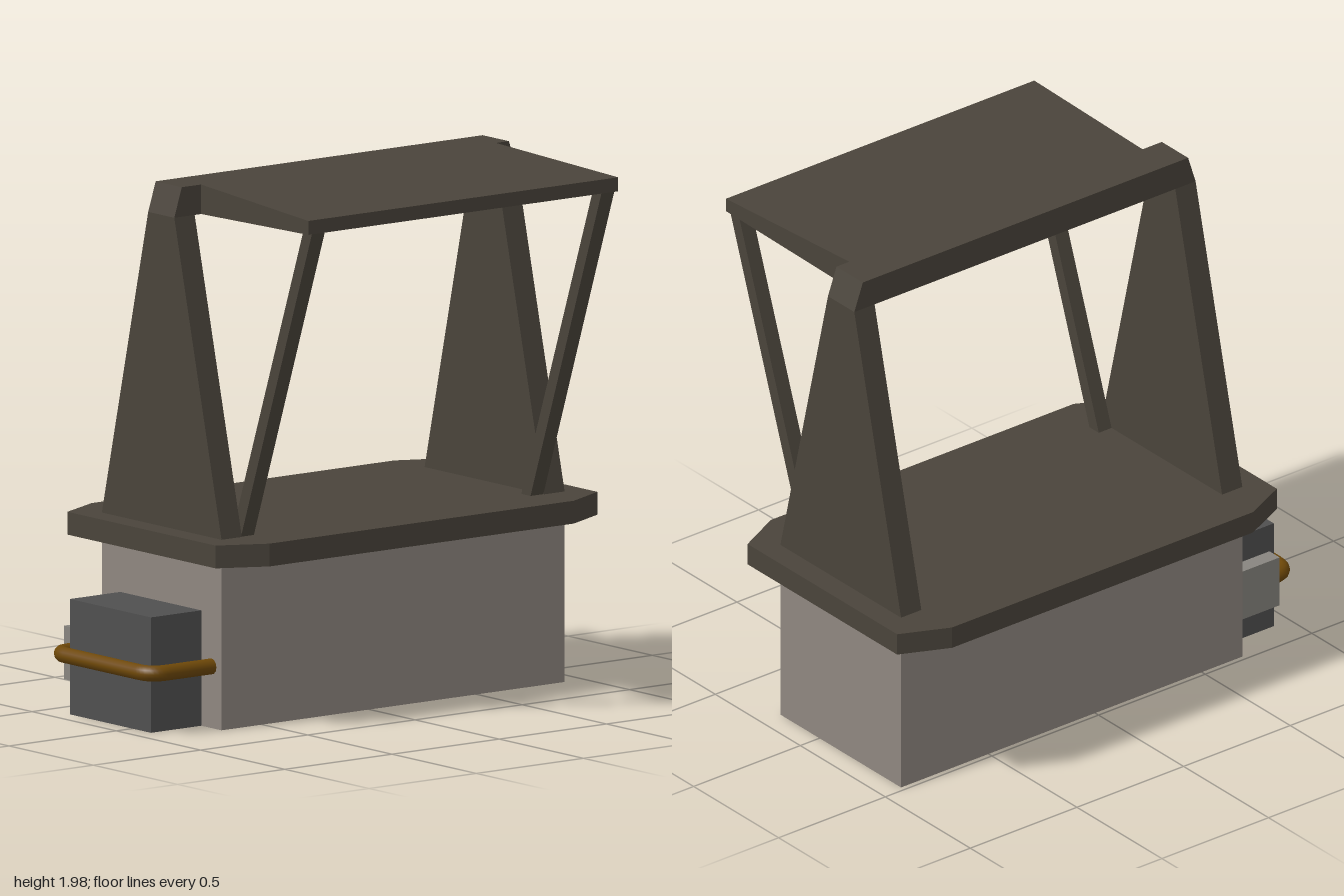
import * as THREE from 'three';

const paint = (color) => new THREE.MeshStandardMaterial({ color, flatShading: true });

export function createModel() {
  const group = new THREE.Group();
  const frame = paint(0x4a443b), plaster = paint(0x8f8780), dark = paint(0x505050), grey = paint(0x88857f);
  const pipeMat = new THREE.MeshStandardMaterial({ color: 0x6e4808 });

  const add = (name, geometry, material) => {
    const mesh = new THREE.Mesh(geometry, material);
    mesh.name = name;
    group.add(mesh);
    return mesh;
  };
  const box = (name, [x0, x1], [y0, y1], [z0, z1], material) => add(name,
    new THREE.BoxGeometry(x1 - x0, y1 - y0, z1 - z0)
      .translate((x0 + x1) / 2, (y0 + y1) / 2, (z0 + z1) / 2), material);
  const extrude = (points, depth) => new THREE.ExtrudeGeometry(
    new THREE.Shape(points.map(([a, b]) => new THREE.Vector2(a, b))), { depth, bevelEnabled: false });
  // Prism with a (z, y) profile running from x0 to x1
  const sidePrism = (name, points, x0, x1) => add(name,
    extrude(points, x1 - x0).rotateY(-Math.PI / 2).translate(x1, 0, 0), frame);

  // Stall body
  box('base', [-0.69, 0.91], [0, 0.625], [-0.48, 0.23], plaster);

  // Counter slab with clipped corners
  const outline = [[-0.78, -0.31], [-0.6, -0.4], [0.82, -0.4], [1, -0.31],
    [1, 0.57], [0.81, 0.655], [-0.6, 0.655], [-0.78, 0.57]];
  add('counter', extrude(outline, 0.085).rotateX(-Math.PI / 2).translate(0, 0.625, 0), frame);

  // Tapered side posts and slanted canopy struts, mirrored about the body centre
  const mid = 0.11;
  const post = [[-0.48, 0.71], [0.23, 0.71], [-0.05, 1.87], [-0.205, 1.87]];
  const strut = [[0.17, 0.71], [0.225, 0.71], [0.65, 1.91], [0.598, 1.91]];
  for (const [side, s] of [['left', 1], ['right', -1]]) {
    const span = (a, b) => [mid + s * a, mid + s * b].sort((p, q) => p - q);
    sidePrism(side + 'Post', post, ...span(0.705, 0.8));
    sidePrism(side + 'Strut', strut, ...span(0.645, 0.705));
  }

  // Cross beam with sloped ends
  add('crossBeam', extrude([[-0.69, 1.87], [0.91, 1.87], [0.87, 1.98], [-0.655, 1.98]], 0.155)
    .translate(0, 0, -0.205), frame);

  // Canopy: thins and widens towards the front
  const canopy = new THREE.BoxGeometry(1, 1, 1);
  const p = canopy.attributes.position;
  for (let i = 0; i < p.count; i++) {
    const front = p.getZ(i) > 0, top = p.getY(i) > 0, left = p.getX(i) > 0;
    p.setXYZ(i,
      left ? (front ? 0.83 : 0.81) : (front ? -0.615 : -0.565),
      top ? (front ? 1.95 : 1.98) : (front ? 1.898 : 1.87),
      front ? 0.65 : -0.05);
  }
  canopy.computeVertexNormals();
  add('canopy', canopy, frame);

  // Side cabinet with a small fitting on its back
  box('cabinet', [-0.925, -0.69], [0, 0.43], [-0.37, 0.11], dark);
  box('pipeFitting', [-0.905, -0.72], [0.12, 0.32], [-0.43, -0.37], grey);

  // Pipe with two rounded bends
  const v = (x, z) => new THREE.Vector3(x, 0.23, z);
  const path = new THREE.CurvePath();
  path.add(new THREE.LineCurve3(v(-0.8, -0.4), v(-0.9, -0.4)));
  path.add(new THREE.QuadraticBezierCurve3(v(-0.9, -0.4), v(-0.97, -0.4), v(-0.97, -0.33)));
  path.add(new THREE.LineCurve3(v(-0.97, -0.33), v(-0.97, 0.1)));
  path.add(new THREE.QuadraticBezierCurve3(v(-0.97, 0.1), v(-0.97, 0.17), v(-0.9, 0.17)));
  path.add(new THREE.LineCurve3(v(-0.9, 0.17), v(-0.68, 0.17)));
  add('pipe', new THREE.TubeGeometry(path, 80, 0.03, 12), pipeMat);

  return group;
}
